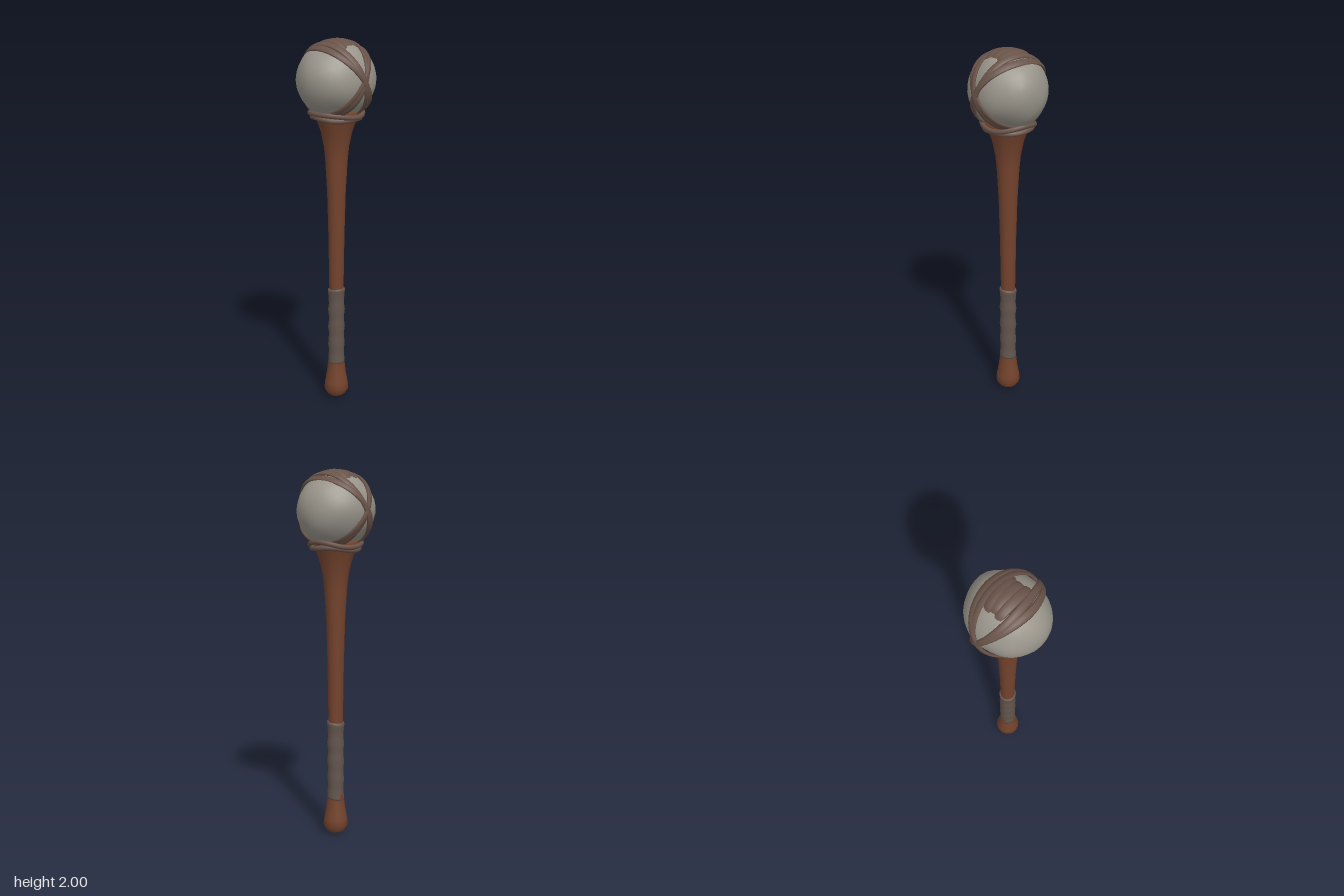
import * as THREE from 'three';
import { mergeVertices } from 'three/addons/utils/BufferGeometryUtils.js';

const mat = (name, color) => new THREE.MeshStandardMaterial({ name, color });

// Move every vertex by a rule, then weld and smooth
function shape(geometry, rule) {
  geometry.deleteAttribute('uv');
  geometry.deleteAttribute('normal');
  const g = mergeVertices(geometry, 1e-5);
  const p = g.attributes.position;
  const v = new THREE.Vector3();
  for (let i = 0; i < p.count; i++) {
    rule(v.fromBufferAttribute(p, i));
    p.setXYZ(i, v.x, v.y, v.z);
  }
  g.computeVertexNormals();
  return g;
}

export function createModel() {
  const root = new THREE.Group();
  root.name = 'stoneClub';
  const wood = mat('wood', 0x74432d);
  const tip = mat('wornTip', 0x5a4a41);
  const stone = mat('stone', 0x98948a);
  const leather = mat('leather', 0x695349);
  const cloth = mat('gripWrap', 0x63554d);

  const add = (name, geometry, material, parent = root) => {
    const mesh = new THREE.Mesh(geometry, material);
    mesh.name = name;
    parent.add(mesh);
    return mesh;
  };
  const lathe = (pts, n) => new THREE.LatheGeometry(pts.map(([r, y]) => new THREE.Vector2(r, y)), n);

  // Handle with a flared neck and rounded pommel
  add('handle', lathe([
    [0.05, 0.022], [0.068, 0.052], [0.064, 0.09], [0.053, 0.15], [0.046, 0.21], [0.04, 0.3],
    [0.039, 0.62], [0.044, 0.95], [0.05, 1.18], [0.06, 1.36], [0.067, 1.43],
    [0.083, 1.51], [0.108, 1.58], [0.125, 1.63], [0, 1.64],
  ], 14), wood);
  add('pommelTip', lathe([[0, 0], [0.028, 0.006], [0.05, 0.022]], 14), tip);

  // Cloth grip: uneven wound layers
  const grip = [[0.038, 0.205], [0.047, 0.207]];
  for (let i = 0; i <= 12; i++) grip.push([0.043 + (i % 3 === 0 ? 0.003 : 0) + 0.001 * Math.sin(i * 2.3), 0.215 + i * 0.034]);
  grip.push([0.048, 0.632], [0.046, 0.642], [0.037, 0.643]);
  add('grip', shape(lathe(grip, 14), v => {
    v.y += 0.12 * v.x;
  }), cloth);

  // Lumpy stone head
  const head = new THREE.Group();
  head.name = 'head';
  head.position.y = 1.785;
  root.add(head);
  add('stone', shape(new THREE.IcosahedronGeometry(1, 5), v => {
    const lump = 1 + 0.015 * Math.sin(5 * v.x + 2 * v.y) * Math.cos(4 * v.y - 1) + 0.01 * Math.sin(7 * v.z + 4 * v.x);
    v.multiplyScalar(lump);
    v.set(v.x * 0.199, v.y * 0.2, v.z * 0.217);
  }), stone, head);

  // Leather straps over the head, all crossing at the two sides
  const straps = new THREE.Group();
  straps.name = 'straps';
  head.add(straps);
  const strap = (tilt, halfWidth, arc, seed) => {
    const full = arc >= Math.PI * 2;
    const t = 0.008;
    const g = new THREE.TorusGeometry(0.204, t, 8, full ? 56 : 20, arc);
    g.rotateZ(Math.PI / 2 - arc / 2);
    const geometry = shape(g, v => {
      const a = Math.atan2(v.x, v.y);
      const end = full ? 0 : Math.pow(Math.abs(a) / (arc / 2), 4);
      const k = 1 - 0.1 * end + 0.008 * Math.sin(3 * a + seed);
      v.x *= k * 1.025;
      v.y *= k;
      v.z = v.z / t * halfWidth * (1 - 0.25 * Math.abs(Math.sin(a))) + 0.006 * Math.sin(2 * a + seed);
    });
    add('strap', geometry, leather, straps).rotation.x = THREE.MathUtils.degToRad(tilt);
  };
  for (const s of [-1, 1]) {
    strap(s * 34, 0.022, Math.PI * 2, s);
    strap(s * 24, 0.023, Math.PI * 2, s + 2);
    strap(s * 13, 0.027, 1.25, s + 4);
  }
  strap(0, 0.03, 1.15, 5);

  // Cord collar binding the stone to the neck
  const collar = new THREE.Group();
  collar.name = 'collar';
  root.add(collar);
  for (let i = 0; i < 2; i++) {
    const g = new THREE.TorusGeometry(1, 0.095, 8, 44).rotateX(Math.PI / 2);
    add('cord', shape(g, v => {
      const a = Math.atan2(v.z, v.x);
      const thick = v.y * 0.14;
      v.x *= 0.13 - i * 0.009;
      v.z *= 0.145 - i * 0.012;
      v.y = 1.612 - i * 0.022 - (0.012 - i * 0.006) * Math.cos(2 * a) + 0.004 * Math.sin(3 * a + i * 2) + thick;
    }), leather, collar);
  }
  return root;
}
